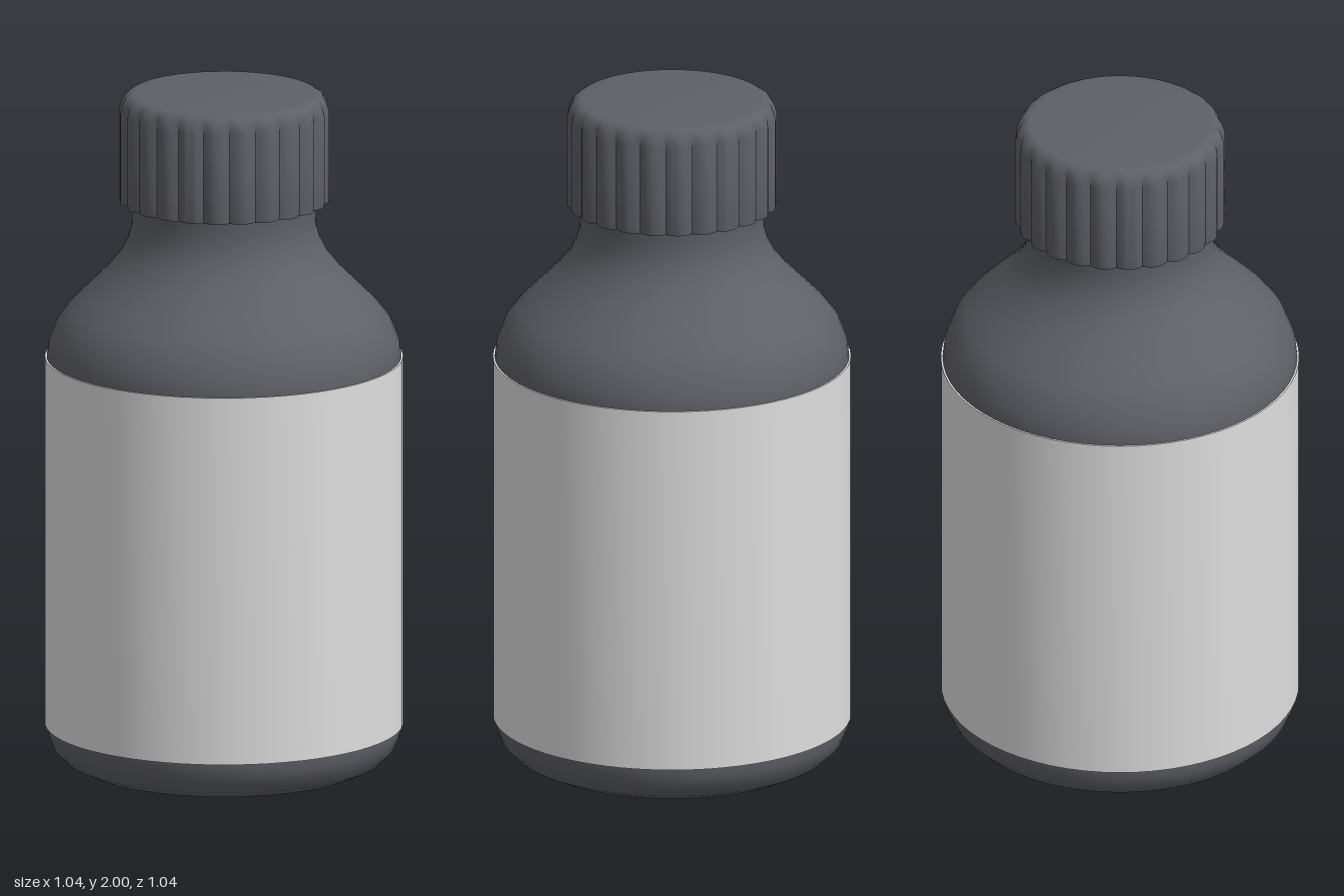
import * as THREE from 'three';
import { mergeVertices, toCreasedNormals } from 'three/addons/utils/BufferGeometryUtils.js';

const SEGMENTS = 64;
const RIDGES = 24;

const lathe = (profile, segments = SEGMENTS) =>
  new THREE.LatheGeometry(profile.map(([r, y]) => new THREE.Vector2(r, y)), segments);

// Cap skin turned from a profile, with grip ridges that fade out towards the top
function ridgedCap() {
  const geo = lathe([
    [0.24, 1.68], [0.298, 1.68], [0.3, 1.69], [0.3, 1.8], [0.3, 1.95],
    [0.296, 1.972], [0.287, 1.99], [0.272, 1.999], [0.26, 2], [0, 2],
  ], RIDGES * 8);
  const pos = geo.attributes.position;
  for (let i = 0; i < pos.count; i++) {
    const x = pos.getX(i), y = pos.getY(i), z = pos.getZ(i);
    const r = Math.hypot(x, z);
    if (r < 0.27) continue;
    const fade = THREE.MathUtils.clamp((2 - y) / 0.05, 0, 1);
    const wave = Math.abs(Math.cos(Math.atan2(x, z) * RIDGES / 2)) - 0.55;
    const k = 1 + 0.011 * fade * wave / 0.3 / r * 0.3;
    const s = 1 + (k - 1) * 1.2;
    pos.setXYZ(i, x * s, y, z * s);
  }
  geo.deleteAttribute('uv');
  geo.deleteAttribute('normal');
  return toCreasedNormals(mergeVertices(geo, 1e-5), 0.8);
}

export function createModel() {
  const model = new THREE.Group();
  const darkPlastic = new THREE.MeshStandardMaterial({ name: 'darkPlastic', color: 0x5f6067 });
  const paleLabel = new THREE.MeshStandardMaterial({ name: 'paleLabel', color: 0xdedede });

  const add = (name, geometry, material) => {
    const mesh = new THREE.Mesh(geometry, material);
    mesh.name = name;
    model.add(mesh);
    return mesh;
  };

  // Bottle: rounded foot, straight wall, sloping shoulder, neck
  add('bottleBody', lathe([
    [0.42, 0], [0.465, 0.022], [0.495, 0.052], [0.51, 0.09], [0.515, 0.13],
    [0.515, 1.21], [0.509, 1.26], [0.485, 1.32], [0.45, 1.365], [0.4, 1.415],
    [0.34, 1.475], [0.3, 1.525], [0.278, 1.57], [0.268, 1.61], [0.267, 1.65], [0.27, 1.69],
  ]), darkPlastic);

  const base = add('bottleBase', new THREE.CircleGeometry(0.42, SEGMENTS), darkPlastic);
  base.rotation.x = Math.PI / 2;

  // Label sleeve with thin edges turned in to the wall
  add('label', toCreasedNormals(lathe([
    [0.513, 0.12], [0.52, 0.12], [0.52, 1.215], [0.51, 1.215],
  ]), 0.6), paleLabel);

  add('cap', ridgedCap(), darkPlastic);

  return model;
}
